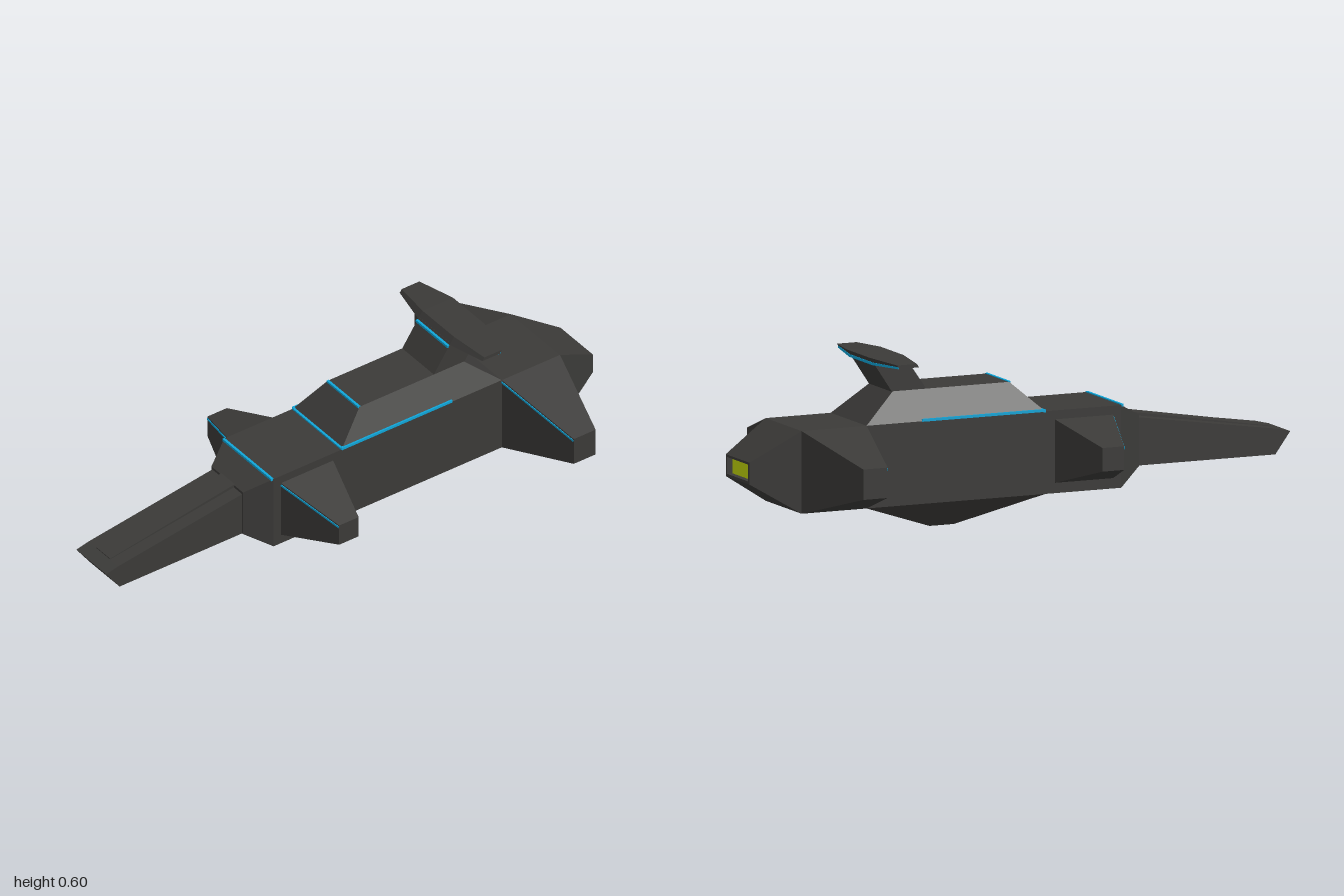
import * as THREE from 'three';

const DARK = new THREE.MeshStandardMaterial({ color: 0x3b3a38, flatShading: true });
const BLUE = new THREE.MeshStandardMaterial({ color: 0x0fa5d8, flatShading: true });
const LIME = new THREE.MeshStandardMaterial({ color: 0xc0d40c, flatShading: true });

// Rectangular rings, wound counter-clockwise about their own axis
const ringX = (x, y0, y1, w) => [[x, y0, -w], [x, y1, -w], [x, y1, w], [x, y0, w]];
const ringY = (y, x0, x1, w) => [[x0, y, -w], [x0, y, w], [x1, y, w], [x1, y, -w]];
const ringZ = (z, x0, x1, y0, y1) => [[x0, y0, z], [x1, y0, z], [x1, y1, z], [x0, y1, z]];

// Faceted solid through a list of four-cornered rings, capped at both ends
function loft(rings) {
  const pos = [];
  const quad = (a, b, c, d) => pos.push(...a, ...b, ...c, ...a, ...c, ...d);
  for (let r = 0; r < rings.length - 1; r++) {
    const a = rings[r], b = rings[r + 1];
    for (let i = 0; i < 4; i++) {
      const j = (i + 1) % 4;
      quad(a[i], a[j], b[j], b[i]);
    }
  }
  quad(...[...rings[0]].reverse());
  quad(...rings[rings.length - 1]);
  const g = new THREE.BufferGeometry();
  g.setAttribute('position', new THREE.Float32BufferAttribute(pos, 3));
  g.computeVertexNormals();
  return g;
}

// Side profile in x and y, extruded across z
function slab(points, halfWidth) {
  const shape = new THREE.Shape(points.map(([x, y]) => new THREE.Vector2(x, y)));
  return new THREE.ExtrudeGeometry(shape, { depth: 2 * halfWidth, bevelEnabled: false })
    .translate(0, 0, -halfWidth);
}

export function createModel() {
  const model = new THREE.Group();
  model.name = 'spacecraft';
  const add = (name, geometry, material = DARK) => {
    const mesh = new THREE.Mesh(geometry, material);
    mesh.name = name;
    model.add(mesh);
    return mesh;
  };
  // Thin light bar between two points
  const strip = (name, a, b, t = 0.009) => {
    const p = new THREE.Vector3(...a), q = new THREE.Vector3(...b);
    const mesh = add(name, new THREE.BoxGeometry(t, t, p.distanceTo(q)), BLUE);
    mesh.position.copy(p).add(q).multiplyScalar(0.5);
    mesh.lookAt(q);
  };

  // Main hull with a recessed exhaust at the rear
  add('hull', loft([
    ringX(-0.44, 0.16, 0.333, 0.09),
    ringX(-0.35, 0.1, 0.38, 0.14),
    ringX(0.83, 0.1, 0.38, 0.14),
    ringX(1.0, 0.204, 0.278, 0.092),
    ringX(1.0, 0.213, 0.27, 0.083),
    ringX(0.975, 0.213, 0.27, 0.083),
  ]));
  add('exhaustGlow', new THREE.BoxGeometry(0.006, 0.057, 0.166), LIME).position.set(0.976, 0.2415, 0);

  // Keel and raised cabin
  add('keel', loft([ringY(0, 0.21, 0.3, 0.018), ringY(0.1, -0.07, 0.59, 0.14)]));
  add('cabin', loft([ringY(0.38, -0.07, 0.59, 0.14), ringY(0.48, 0.04, 0.47, 0.09)]));

  // Long nose with a low ridge on top
  add('nose', slab([[-0.43, 0.16], [-0.945, 0.16], [-1, 0.235], [-0.95, 0.247], [-0.43, 0.325]], 0.085));
  add('noseRidge', slab([[-0.43, 0.2], [-0.95, 0.2], [-0.95, 0.25], [-0.43, 0.336]], 0.038));

  // Tail strut and wing
  add('tailStrut', slab([[0.343, 0.475], [0.47, 0.475], [0.54, 0.58], [0.415, 0.58]], 0.09));
  const wingRing = (z, x0, x1, y0, y1, lean) =>
    [[x0 - lean, y0, z], [x1 - lean, y0, z], [x1, y1, z], [x0, y1, z]];
  const tip = [0.449, 0.522, 0.582, 0.594, 0.008];
  const root = [0.43, 0.555, 0.575, 0.6, 0.018];
  add('tailWing', loft([
    wingRing(-0.235, ...tip), wingRing(-0.09, ...root),
    wingRing(0.09, ...root), wingRing(0.235, ...tip),
  ]));
  // Light along the lower trailing edge of the wing
  add('tailWingLight', loft([
    ringZ(-0.234, 0.505, 0.519, 0.581, 0.588), ringZ(-0.09, 0.528, 0.545, 0.574, 0.583),
    ringZ(0.09, 0.528, 0.545, 0.574, 0.583), ringZ(0.234, 0.505, 0.519, 0.581, 0.588),
  ]), BLUE);

  // Tapering side pods: base and tip as [x0, x1, y0, y1]
  const pods = [
    { name: 'FrontPod', base: [-0.32, -0.105, 0.135, 0.35], tip: [-0.25, -0.17, 0.205, 0.285], z: 0.375 },
    { name: 'RearPod', base: [0.59, 0.83, 0.1, 0.38], tip: [0.66, 0.75, 0.19, 0.293], z: 0.453 },
  ];
  for (const s of [1, -1]) {
    const side = s > 0 ? 'left' : 'right';
    for (const { name, base, tip, z } of pods) {
      const rings = [ringZ(s * 0.14, ...base), ringZ(s * z, ...tip)];
      add(side + name, loft(s > 0 ? rings : rings.reverse()));
      strip(side + name + 'Light', [base[0] + 0.001, base[3] - 0.008, s * 0.14],
        [tip[0] + 0.001, tip[3] - 0.008, s * (z - 0.002)], 0.007);
    }
    strip(side + 'HullLight', [-0.07, 0.383, s * 0.138], [0.385, 0.383, s * 0.138]);
  }

  // Cross lights on the hull, cabin and strut
  for (const [name, x, y, w] of [
    ['hullCrossLight', -0.355, 0.379, 0.139], ['cabinBaseLight', -0.068, 0.381, 0.14],
    ['cabinTopLight', 0.039, 0.478, 0.09], ['strutLight', 0.406, 0.57, 0.09],
  ]) strip(name, [x, y, -w], [x, y, w]);

  return model;
}
